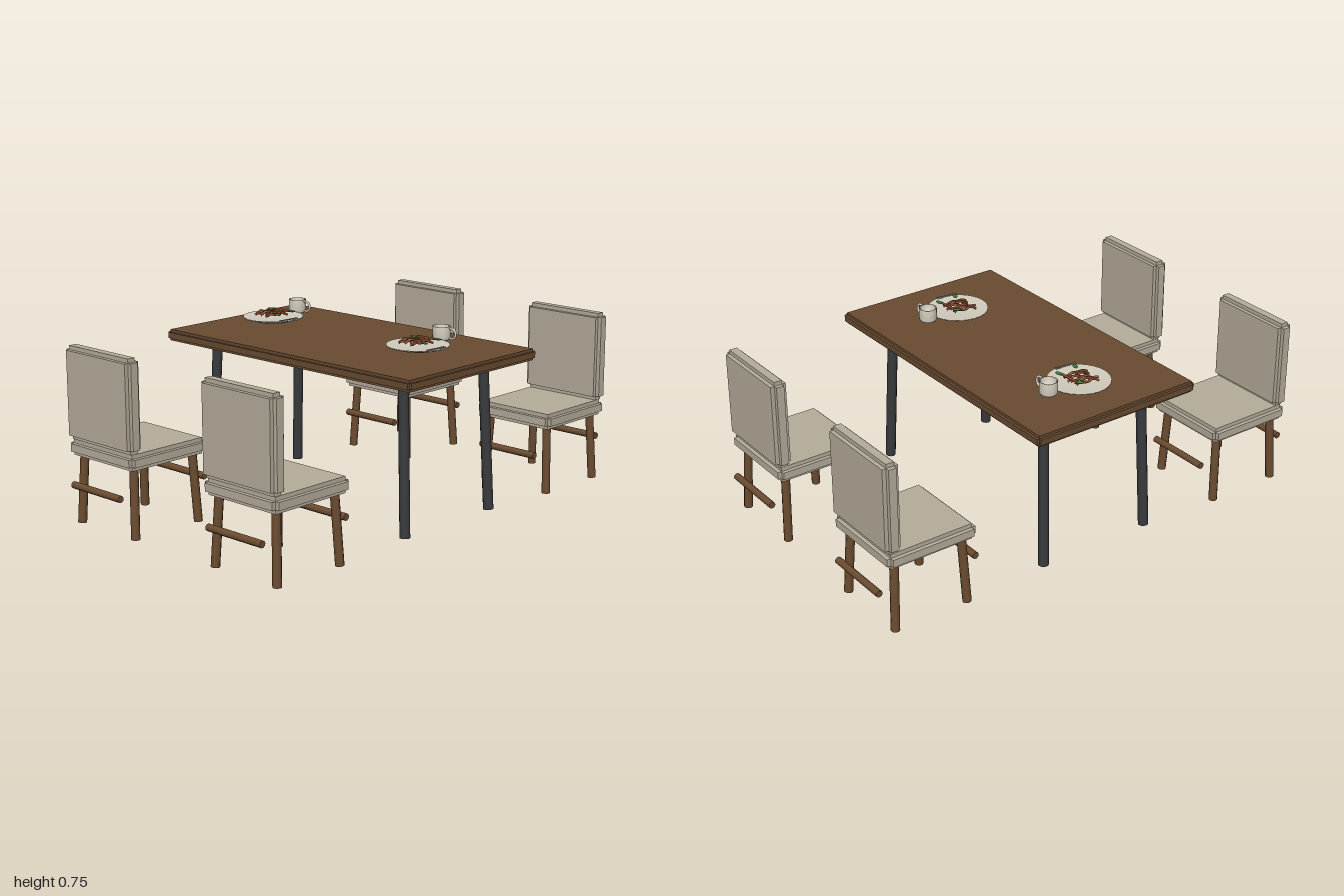
import * as THREE from 'three';

const mat = (name, color, opts = {}) => {
  const m = new THREE.MeshStandardMaterial({ color, ...opts });
  m.name = name;
  return m;
};

export function createModel() {
  const fabric = mat('beige fabric', 0xb6ad9b);
  const tableWood = mat('table wood', 0x694b31);
  const chairWood = mat('chair wood', 0x6b4c30);
  const charcoal = mat('charcoal metal', 0x393a3d);
  const china = mat('white china', 0xd2ccbd, { side: THREE.DoubleSide });
  const sauce = mat('noodle red brown', 0x8a4b2b);
  const leafGreen = mat('leaf green', 0x3d7a38);
  const steel = mat('cutlery steel', 0x8e8e8c);

  const add = (parent, name, geo, material, x = 0, y = 0, z = 0) => {
    const mesh = new THREE.Mesh(geo, material);
    mesh.name = name;
    mesh.position.set(x, y, z);
    parent.add(mesh);
    return mesh;
  };
  const group = (parent, name, x = 0, y = 0, z = 0) => {
    const g = new THREE.Group();
    g.name = name;
    g.position.set(x, y, z);
    parent.add(g);
    return g;
  };

  // Slab with stepped edges: three crossing boxes, each full size along one axis
  const steppedSlab = (parent, name, [w, h, d], r, material, x, y, z) => {
    const g = group(parent, name, x, y, z);
    for (let a = 0; a < 3; a++) {
      const s = [w, h, d].map((v, i) => (i === a ? v : v - 2 * r));
      add(g, name + 'Block', new THREE.BoxGeometry(...s), material);
    }
  };

  // Round bar between two points
  const bar = (parent, name, from, to, r, material, sides = 10) => {
    const a = new THREE.Vector3(...from), b = new THREE.Vector3(...to);
    const dir = b.clone().sub(a);
    const mesh = add(parent, name, new THREE.CylinderGeometry(r, r, dir.length(), sides), material);
    mesh.position.copy(a).add(b).multiplyScalar(0.5);
    mesh.quaternion.setFromUnitVectors(new THREE.Vector3(0, 1, 0), dir.normalize());
  };

  const model = new THREE.Group();
  model.name = 'diningSet';

  // Table
  const table = group(model, 'table');
  steppedSlab(table, 'tabletop', [1.324, 0.046, 0.75], 0.011, tableWood, 0, 0.649, 0);
  for (const sx of [-1, 1]) for (const sz of [-1, 1]) {
    bar(table, 'tableLeg', [sx * 0.535, 0.02, sz * 0.25], [sx * 0.508, 0.605, sz * 0.235], 0.021, charcoal, 12);
  }

  // Chairs: backrest on the outer side, facing the table
  const chair = (x, side) => {
    const g = group(model, 'chair', x, 0, side * 0.776);
    if (side < 0) g.rotation.y = Math.PI;
    steppedSlab(g, 'seat', [0.378, 0.064, 0.386], 0.0165, fabric, 0, 0.312, 0);
    steppedSlab(g, 'backrest', [0.378, 0.37, 0.066], 0.0165, fabric, 0, 0.53, 0.166);
    for (const sx of [-1, 1]) for (const sz of [-1, 1]) {
      bar(g, 'chairLeg', [sx * 0.16, 0.005, sz * 0.16], [sx * 0.146, 0.285, sz * 0.147], 0.0175, chairWood);
    }
    for (const z of [-0.216, 0.21]) bar(g, 'stretcher', [-0.14, 0.172, z], [0.14, 0.172, z], 0.014, chairWood);
  };
  for (const x of [-0.383, 0.383]) for (const side of [-1, 1]) chair(x, side);

  // Place setting: plate with noodles and leaves, fork and mug
  const lathe = (pts, n) => new THREE.LatheGeometry(pts.map(p => new THREE.Vector2(...p)), n);
  const plateGeo = lathe([[0, 0], [0.075, 0], [0.124, 0.014], [0.124, 0.019], [0.085, 0.011], [0, 0.009]], 28);
  const mugGeo = lathe([[0, 0], [0.031, 0], [0.036, 0.008], [0.036, 0.054], [0.031, 0.054], [0.03, 0.01], [0, 0.01]], 20);
  const noodle = (x, phase) => {
    const pts = [];
    for (let i = 0; i <= 6; i++) {
      const t = i / 6;
      pts.push(new THREE.Vector3(
        x + 0.012 * (0.5 - t) + 0.004 * Math.sin(t * 9 + phase),
        0.026 + 0.008 * Math.sin(t * Math.PI) + 0.004 * Math.sin(t * 11 + phase * 2),
        -0.05 + 0.1 * t + 0.007 * Math.sin(phase)));
    }
    return new THREE.TubeGeometry(new THREE.CatmullRomCurve3(pts), 14, 0.005, 6);
  };
  const setting = (x) => {
    const g = group(model, 'placeSetting', x, 0.685, -0.008);
    add(g, 'plate', plateGeo, china);
    for (let i = 0; i < 6; i++) add(g, 'noodle', noodle(-0.053 + i * 0.0165, i * 1.7), sauce);
    bar(g, 'noodle', [-0.045, 0.037, -0.045], [0.04, 0.037, -0.05], 0.005, sauce, 6);
    for (const [lx, lz, turn] of [[0.052, -0.055, 0.2], [-0.05, -0.038, 0.5], [0.064, 0.032, -0.4]]) {
      const leaf = add(g, 'leaf', new THREE.SphereGeometry(1, 10, 6), leafGreen, lx, 0.037, lz);
      leaf.scale.set(0.018, 0.004, 0.01);
      leaf.rotation.y = turn;
    }
    const fork = group(g, 'fork', 0.113, 0.022, 0.02);
    fork.rotation.y = -0.1;
    add(fork, 'forkHandle', new THREE.BoxGeometry(0.006, 0.004, 0.07), steel, 0, 0, 0.015);
    for (const tx of [-0.005, 0, 0.005]) {
      add(fork, 'forkTine', new THREE.BoxGeometry(0.002, 0.004, 0.025), steel, tx, 0, -0.03);
    }
    const mug = group(g, 'mug', -0.014, 0.011, -0.156);
    add(mug, 'mugBody', mugGeo, china);
    const handle = add(mug, 'mugHandle', new THREE.TorusGeometry(0.02, 0.005, 8, 16, Math.PI * 1.3), china, 0.052, 0.029, 0);
    handle.rotation.z = -Math.PI * 0.65;
  };
  for (const x of [-0.43, 0.366]) setting(x);

  return model;
}
